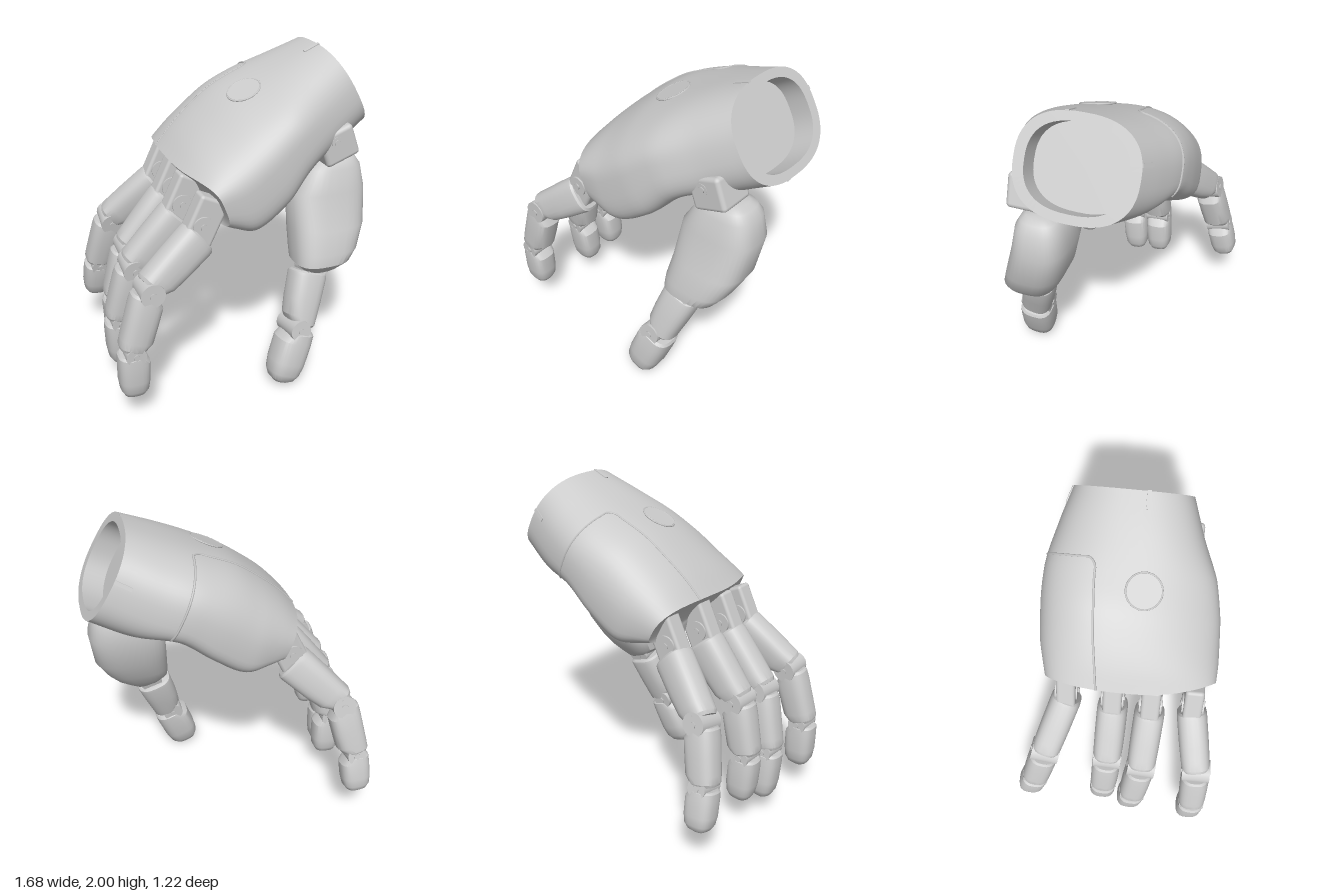
import * as THREE from 'three';
import { toCreasedNormals } from 'three/addons/utils/BufferGeometryUtils.js';
import { RoundedBoxGeometry } from 'three/addons/geometries/RoundedBoxGeometry.js';

const V = (x, y, z) => new THREE.Vector3(x, y, z);
const grey = new THREE.MeshStandardMaterial({ color: 0xcccccc });

function add(parent, geo, name, pos) {
  const mesh = new THREE.Mesh(geo, grey);
  mesh.name = name;
  if (pos) mesh.position.copy(pos);
  parent.add(mesh);
  return mesh;
}

// Superellipse coordinate pair for angle a
const power = (c, n) => Math.sign(c) * Math.pow(Math.abs(c), 2 / n);
const superPoint = (a, n) => [power(Math.cos(a), n), power(Math.sin(a), n)];

// Skin over rings of points, closed at both ends
function loft(rings, crease = 0.6) {
  const n = rings[0].length, pos = [], idx = [];
  rings.forEach(r => r.forEach(p => pos.push(p.x, p.y, p.z)));
  for (let i = 0; i < rings.length - 1; i++) {
    for (let j = 0; j < n; j++) {
      const k = (j + 1) % n, a = i * n, b = a + n;
      idx.push(a + j, a + k, b + j, a + k, b + k, b + j);
    }
  }
  [0, rings.length - 1].forEach((i, end) => {
    const c = rings[i].reduce((s, p) => s.add(p), V(0, 0, 0)).divideScalar(n);
    const ci = pos.length / 3;
    pos.push(c.x, c.y, c.z);
    for (let j = 0; j < n; j++) {
      const a = i * n + j, b = i * n + (j + 1) % n;
      end ? idx.push(ci, a, b) : idx.push(ci, b, a);
    }
  });
  const g = new THREE.BufferGeometry();
  g.setAttribute('position', new THREE.Float32BufferAttribute(pos, 3));
  g.setIndex(idx);
  return toCreasedNormals(g, crease);
}

// Palm sections, knuckles to wrist: back x, y | palm x, y | z from, to | hollow
const sections = [
  [-0.38, 1.415, -0.22, 1.13, -0.41, 0.55, 0.08],
  [-0.28, 1.525, -0.11, 1.07, -0.44, 0.56, 0.1],
  [-0.16, 1.63, 0.02, 1.03, -0.47, 0.56, 0.12],
  [-0.02, 1.73, 0.22, 1.15, -0.48, 0.545, 0.12],
  [0.17, 1.82, 0.40, 1.32, -0.47, 0.50, 0.08],
  [0.36, 1.905, 0.62, 1.39, -0.42, 0.41, 0.02],
  [0.56, 1.99, 0.84, 1.50, -0.35, 0.33, 0],
];
const curveOf = f => new THREE.CatmullRomCurve3(sections.map(f));
const backCurve = curveOf(s => V(s[0], s[1], 0));
const palmCurve = curveOf(s => V(s[2], s[3], 0));
const widthCurve = curveOf(s => V(s[4], s[5], s[6]));

// Rounded back, hollowed underside rising to the little finger, knuckle edge swept back at the sides
function palmPoint(s, a) {
  const q = Math.cos(a);
  s += Math.pow(1 - s, 4) * q * q * (q < 0 ? 0.13 : 0.05);
  const t = backCurve.getPoint(s), b = palmCurve.getPoint(s), w = widthCurve.getPoint(s);
  const below = Math.sin(a) < 0;
  const [c, d] = superPoint(a, below ? 2.5 + 12 * w.z : 2.5 - 1.5 * w.z);
  const p = t.clone().add(b).multiplyScalar(0.5);
  const up = t.sub(b).multiplyScalar(0.5);
  const lift = below ? -d * (0.6 * (1 - c * c) + c * (c > 0 ? 0.95 : 0.35)) : 0.5 * c * d;
  p.addScaledVector(up, d + lift * w.z / up.length());
  p.z = (w.x + w.y) / 2 - c * (w.y - w.x) / 2;
  return p;
}

function palmNormal(s, a) {
  const p = palmPoint(s, a);
  const da = palmPoint(s, a + 0.03).sub(p), ds = palmPoint(s + 0.01, a).sub(p);
  return da.cross(ds).normalize();
}

function buildPalm(parent) {
  const N = 64, ring = s => Array.from({ length: N }, (_, j) => palmPoint(s, j / N * Math.PI * 2));
  const rings = Array.from({ length: 31 }, (_, i) => ring(i / 30));
  // Wrist rim turning in to a recessed floor
  const rim = rings[30], centre = V(0.7, 1.745, -0.01), axis = V(0.868, 0.496, 0);
  const inner = rim.map(p => p.clone().sub(centre).multiplyScalar(0.82).add(centre));
  rings.push(inner, inner.map(p => p.clone().addScaledVector(axis, -0.13)));
  add(parent, loft(rings), 'palm');

  // Round plate on the back of the hand
  const n = palmNormal(0.59, 1.69), p = palmPoint(0.59, 1.69);
  const plate = new THREE.Group();
  plate.name = 'backPlate';
  plate.position.copy(p);
  plate.quaternion.setFromUnitVectors(V(0, 1, 0), n);
  add(plate, new THREE.CylinderGeometry(0.095, 0.1, 0.008, 32), 'plateDisc');
  add(plate, new THREE.TorusGeometry(0.1, 0.005, 6, 32).rotateX(Math.PI / 2), 'plateRim');
  parent.add(plate);

  // Side panel seam
  const path = [];
  for (let i = 0; i <= 16; i++) path.push(palmPoint(i / 16 * 0.68, 1.25));
  for (let i = 0; i <= 16; i++) path.push(palmPoint(0.71, 1.18 - i * 0.105));
  add(parent, new THREE.TubeGeometry(new THREE.CatmullRomCurve3(path), 90, 0.007, 5), 'panelSeam');

  // Small keys around the wrist
  for (const a of [1.75, 0.2, 4.6]) {
    const key = add(parent, new THREE.BoxGeometry(0.022, 0.01, 0.1), 'wristKey', palmPoint(0.965, a));
    const y = palmNormal(0.965, a), x = y.clone().cross(axis).normalize();
    key.quaternion.setFromRotationMatrix(new THREE.Matrix4().makeBasis(x, y, x.clone().cross(y)));
  }
}

// Stations: place along bone, side width, inner depth, outer depth
const firstShape = [[0, 0.86, 0.86, 0.86], [0.03, 0.97, 0.98, 0.98], [0.08, 1, 1, 1], [0.5, 1, 0.95, 0.94],
  [0.78, 0.98, 0.86, 0.88], [0.92, 0.95, 0.55, 0.86], [0.97, 0.82, 0.4, 0.76]];
const middleShape = [[0.05, 0.8, 0.4, 0.9], [0.09, 0.94, 0.55, 1], [0.22, 1, 1, 1.02], [0.5, 1, 1, 1],
  [0.8, 0.98, 0.98, 0.98], [0.92, 0.95, 0.65, 0.96], [0.97, 0.82, 0.4, 0.86]];
const tipShape = [[0.03, 0.82, 0.45, 0.86], [0.07, 0.96, 0.6, 0.98], [0.22, 1, 1, 1], [0.6, 0.99, 1, 0.98],
  [0.8, 0.9, 0.92, 0.88], [0.91, 0.7, 0.72, 0.68], [0.97, 0.42, 0.44, 0.42], [1, 0.1, 0.1, 0.1]];

function frame(from, to) {
  const d = to.clone().sub(from).normalize();
  const side = V(0, 0, 1).addScaledVector(d, -d.z).normalize();
  return { d, side, inner: side.clone().cross(d) };
}

function segment(parent, name, from, to, depth, width, shape, flip = 1) {
  const { side, inner } = frame(from, to);
  const rings = shape.map(([t, w, a, b]) => Array.from({ length: 28 }, (_, j) => {
    const [c, s] = superPoint(j / 28 * Math.PI * 2, 2.8);
    return from.clone().lerp(to, t)
      .addScaledVector(inner, c * depth * (c * flip > 0 ? a : b))
      .addScaledVector(side, s * width * w);
  }));
  add(parent, loft(rings, 0.5), name);
}

// Hinge barrel with hexagonal pins at both ends
function hinge(parent, name, pos, dir, radius, length) {
  const q = new THREE.Quaternion().setFromUnitVectors(V(0, 1, 0), dir);
  add(parent, new THREE.CylinderGeometry(radius, radius, length, 24), name, pos).quaternion.copy(q);
  add(parent, new THREE.CylinderGeometry(0.02, 0.02, length + 0.012, 6), name + 'Pin', pos).quaternion.copy(q);
}

function buildFinger(parent, name, pts) {
  const g = new THREE.Group();
  g.name = name;
  const [base, knee, mid, tip] = pts;
  // Knuckle fork between palm and finger
  const fork = base.clone().add(V(0.03, 0.1, 0));
  const block = add(g, new RoundedBoxGeometry(0.18, 0.28, 0.11, 2, 0.02), 'knuckle', fork);
  block.rotation.z = -0.45;
  hinge(g, 'knuckleHinge', fork.clone().add(V(-0.02, -0.02, 0)), V(0, 0, 1), 0.06, 0.13);
  segment(g, 'proximalBone', base, knee, 0.118, 0.09, firstShape);
  hinge(g, 'kneeHinge', knee, frame(knee, mid).side, 0.07, 0.166);
  segment(g, 'middleBone', knee, mid, 0.097, 0.087, middleShape);
  hinge(g, 'tipHinge', mid, frame(mid, tip).side, 0.058, 0.155);
  segment(g, 'fingertip', mid, tip, 0.091, 0.084, tipShape);
  parent.add(g);
}

function buildThumb(parent) {
  const g = new THREE.Group();
  g.name = 'thumb';
  // Mount under the wrist
  add(g, new RoundedBoxGeometry(0.22, 0.2, 0.22, 2, 0.025), 'thumbMount', V(0.565, 1.465, 0.3)).rotation.z = 0.35;
  hinge(g, 'thumbMountHinge', V(0.54, 1.49, 0.3), V(0, 0, 1), 0.035, 0.225);
  add(g, new THREE.CylinderGeometry(0.07, 0.08, 0.14, 20), 'thumbSwivel', V(0.58, 1.37, 0.25));
  // Broad base: y | x from, to | z from, to
  const base = [[1.37, 0.57, 0.7, 0.16, 0.31], [1.35, 0.49, 0.74, 0.12, 0.34], [1.3, 0.42, 0.775, 0.09, 0.37],
    [1.16, 0.335, 0.805, 0.07, 0.4], [0.95, 0.322, 0.78, 0.12, 0.465], [0.82, 0.312, 0.715, 0.18, 0.515],
    [0.75, 0.31, 0.66, 0.22, 0.52], [0.7, 0.36, 0.59, 0.26, 0.48], [0.66, 0.44, 0.53, 0.3, 0.43]];
  add(g, loft(base.map(([y, x0, x1, z0, z1]) => Array.from({ length: 36 }, (_, j) => {
    const [c, s] = superPoint(j / 36 * Math.PI * 2, 2.9);
    return V((x0 + x1) / 2 + c * (x1 - x0) / 2, y, (z0 + z1) / 2 + s * (z1 - z0) / 2);
  })), 0.7), 'thumbBase');
  const root = V(0.41, 0.67, 0.375), joint = V(0.3, 0.345, 0.47), tip = V(0.17, 0.0, 0.52);
  hinge(g, 'thumbRootHinge', root.clone().add(V(0.02, 0.03, 0)), frame(root, joint).side, 0.07, 0.16);
  segment(g, 'thumbBone', root, joint, 0.115, 0.1, firstShape, -1);
  hinge(g, 'thumbTipHinge', joint.clone().add(V(-0.02, 0.01, 0)), frame(joint, tip).side, 0.066, 0.195);
  segment(g, 'thumbTip', joint, tip, 0.11, 0.108, tipShape, -1);
  parent.add(g);
}

export function createModel() {
  const hand = new THREE.Group();
  hand.name = 'mechanicalHand';
  buildPalm(hand);
  buildThumb(hand);
  // Joint centres from knuckle to tip
  buildFinger(hand, 'indexFinger', [V(-0.325, 1.075, 0.445), V(-0.64, 0.84, 0.515), V(-0.75, 0.48, 0.525), V(-0.755, 0.17, 0.515)]);
  buildFinger(hand, 'middleFinger', [V(-0.36, 1.11, 0.2), V(-0.64, 0.82, 0.18), V(-0.73, 0.46, 0.14), V(-0.72, 0.13, 0.11)]);
  buildFinger(hand, 'ringFinger', [V(-0.35, 1.13, -0.02), V(-0.61, 0.83, -0.03), V(-0.69, 0.5, -0.05), V(-0.68, 0.19, -0.07)]);
  buildFinger(hand, 'littleFinger', [V(-0.33, 1.13, -0.29), V(-0.62, 0.86, -0.41), V(-0.7, 0.52, -0.49), V(-0.72, 0.26, -0.555)]);
  return hand;
}
